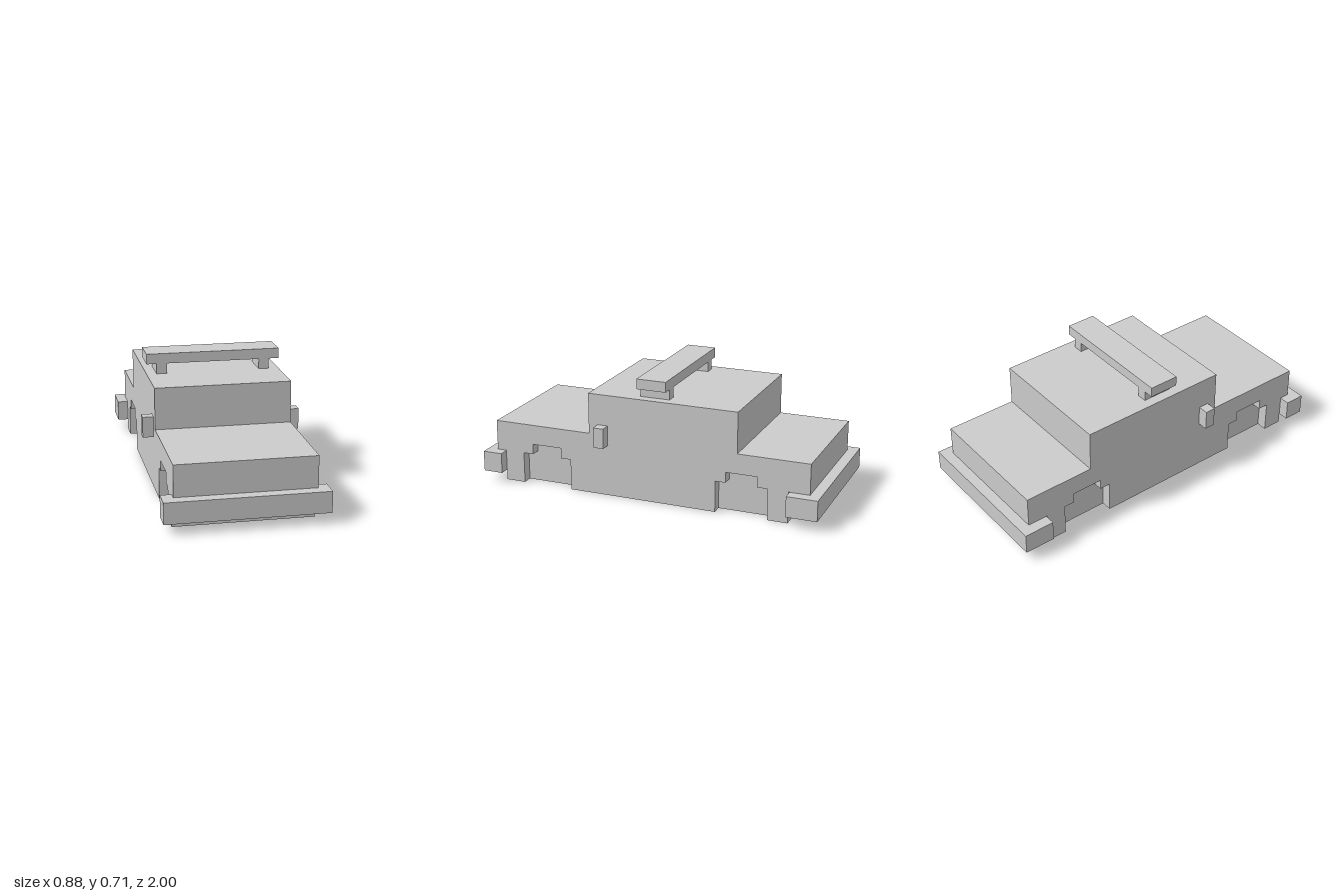
import * as THREE from 'three';

const material = new THREE.MeshStandardMaterial({ color: 0xcccccc, flatShading: true });

// Box given by its minimum and maximum on each axis
function box(name, [x0, x1], [y0, y1], [z0, z1]) {
  const geometry = new THREE.BoxGeometry(x1 - x0, y1 - y0, z1 - z0);
  geometry.translate((x0 + x1) / 2, (y0 + y1) / 2, (z0 + z1) / 2);
  const mesh = new THREE.Mesh(geometry, material);
  mesh.name = name;
  return mesh;
}

// Side profile of [z, y] points, extruded across the width from x0 to x1
function slab(name, points, x0, x1) {
  const shape = new THREE.Shape(points.map(([z, y]) => new THREE.Vector2(z, y)));
  const geometry = new THREE.ExtrudeGeometry(shape, { depth: x1 - x0, bevelEnabled: false });
  geometry.rotateY(-Math.PI / 2).translate(x1, 0, 0);
  const mesh = new THREE.Mesh(geometry, material);
  mesh.name = name;
  return mesh;
}

// Stepped wheel arch cut into the lower edge, running from back to front
function arch(z) {
  return [
    [z - 0.15, 0], [z - 0.15, 0.18], [z - 0.09, 0.18], [z - 0.09, 0.24],
    [z + 0.09, 0.24], [z + 0.09, 0.18], [z + 0.15, 0.18], [z + 0.15, 0],
  ];
}

export function createModel() {
  const model = new THREE.Group();
  model.name = 'car';

  // Body outline: bonnet, cabin and rear deck above a shorter sill
  const upper = [
    [0.885, 0], [0.885, 0.18], [0.94, 0.18], [0.94, 0.355], [0.35, 0.355], [0.35, 0.59],
    [-0.53, 0.59], [-0.53, 0.355], [-0.94, 0.355], [-0.94, 0.18], [-0.82, 0.18], [-0.82, 0],
  ];
  model.add(slab('bodyCore', upper, -0.32, 0.32));

  // Side panels with wheel arches
  const panel = [...upper, ...arch(-0.555), ...arch(0.62)];
  model.add(slab('leftSidePanel', panel, 0.32, 0.38));
  model.add(slab('rightSidePanel', panel, -0.38, -0.32));

  // Bumpers
  model.add(box('frontBumper', [-0.44, 0.44], [0.06, 0.178], [0.885, 1]));
  model.add(box('rearBumper', [-0.44, 0.44], [0.06, 0.178], [-1, -0.825]));

  // Roof bar on two posts
  model.add(box('roofBar', [-0.38, 0.38], [0.648, 0.706], [-0.115, 0.057]));

  for (const [side, s] of [['left', 1], ['right', -1]]) {
    const span = (a, b) => (s > 0 ? [a, b] : [-b, -a]);
    model.add(box(side + 'RoofPost', span(0.265, 0.323), [0.59, 0.648], [-0.115, 0.057]));
    model.add(box(side + 'Mirror', span(0.38, 0.44), [0.297, 0.413], [0.235, 0.295]));
  }
  return model;
}
